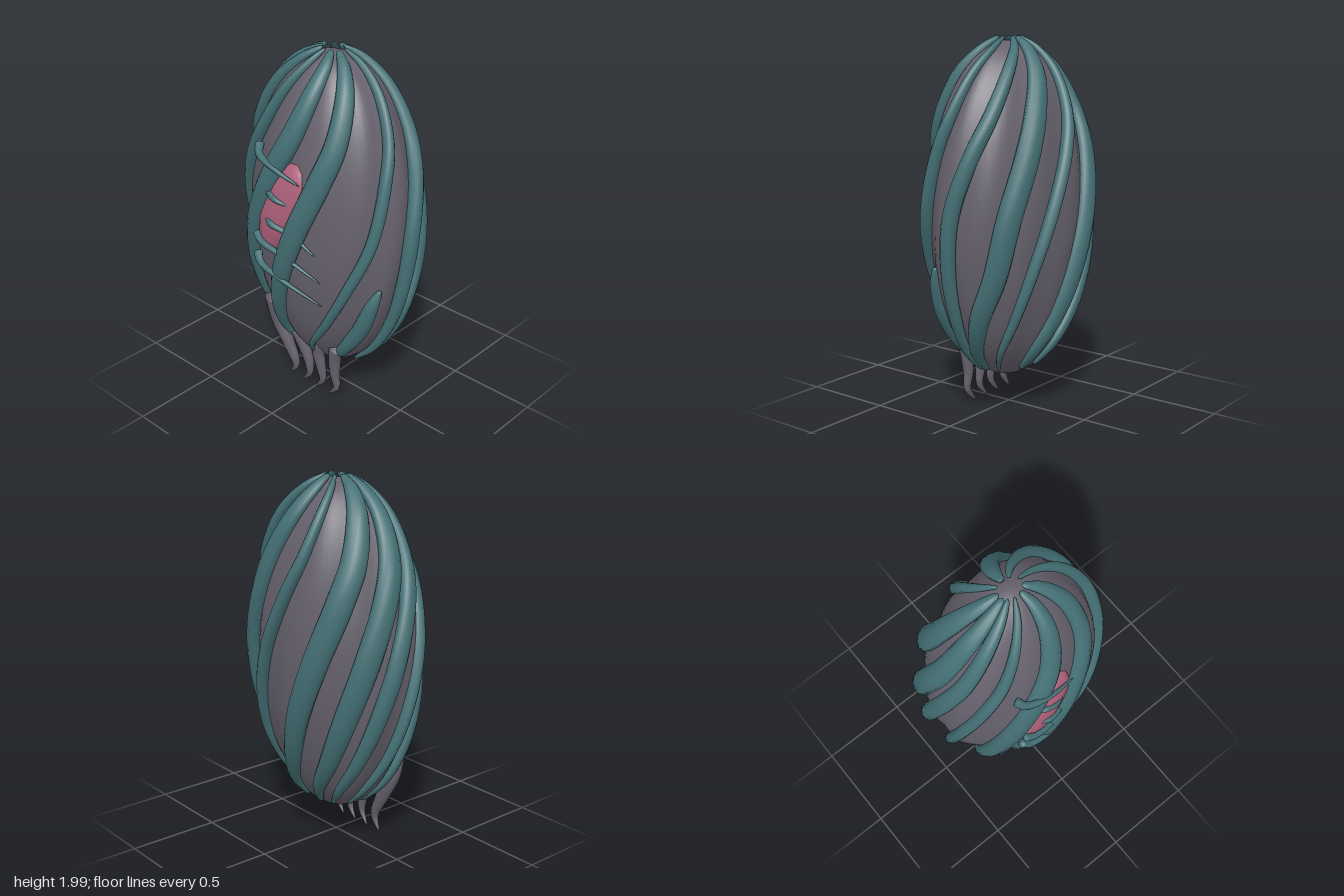
import * as THREE from 'three';
import { mergeVertices } from 'three/addons/utils/BufferGeometryUtils.js';

const RX = 0.5, RY = 0.9, RZ = 0.37, CY = 1.07; // pod half sizes and centre height
const rad = THREE.MathUtils.degToRad;

const material = (name, color) => {
  const m = new THREE.MeshStandardMaterial({ color });
  m.name = name;
  return m;
};

// Point on the pod at a height and an angle (0 = front, growing towards +x)
function podPoint(y, angle, lift = 0) {
  const r = Math.sqrt(Math.max(0, 1 - ((y - CY) / RY) ** 2));
  const p = new THREE.Vector3(RX * r * Math.sin(angle), y, RZ * r * Math.cos(angle));
  return p.addScaledVector(podNormal(p), lift);
}

function podNormal(p) {
  return new THREE.Vector3(p.x / RX ** 2, (p.y - CY) / RY ** 2, p.z / RZ ** 2).normalize();
}

// Sweep an oval section along a curve; width lies across, depth lies along the normal
function sweep(points, rings, sides, width, depth, normalAt) {
  const curve = new THREE.CatmullRomCurve3(points);
  const pos = [], index = [];
  for (let i = 0; i <= rings; i++) {
    const t = i / rings;
    const p = curve.getPoint(t), T = curve.getTangent(t);
    const N = normalAt(p);
    N.addScaledVector(T, -N.dot(T)).normalize();
    const B = new THREE.Vector3().crossVectors(T, N);
    for (let j = 0; j < sides; j++) {
      const a = (j / sides) * Math.PI * 2;
      const v = p.clone().addScaledVector(B, width(t) * Math.cos(a)).addScaledVector(N, depth(t) * Math.sin(a));
      pos.push(v.x, v.y, v.z);
      if (i < rings) {
        const k = (j + 1) % sides, o = i * sides;
        index.push(o + j, o + sides + j, o + k, o + k, o + sides + j, o + sides + k);
      }
    }
  }
  const g = new THREE.BufferGeometry();
  g.setAttribute('position', new THREE.Float32BufferAttribute(pos, 3));
  g.setIndex(index);
  g.computeVertexNormals();
  return g;
}

export function createModel() {
  const group = new THREE.Group();
  const grey = material('dusky grey', 0x66616d);
  const teal = material('deep teal', 0x447075);
  const pink = material('flesh pink', 0xb0627c);
  const add = (name, geometry, mat) => {
    const mesh = new THREE.Mesh(geometry, mat);
    mesh.name = name;
    group.add(mesh);
    return mesh;
  };

  // Fluted pod body
  let body = new THREE.SphereGeometry(1, 80, 40);
  body.deleteAttribute('uv');
  body.deleteAttribute('normal');
  const p = body.attributes.position;
  for (let i = 0; i < p.count; i++) {
    const x = p.getX(i), y = p.getY(i), z = p.getZ(i);
    const a = Math.atan2(x, z) - y * 0.4;
    const f = 1 - 0.02 * (1 - Math.cos(10 * (a - rad(8))));
    p.setXYZ(i, x * RX * f, CY + y * RY, z * RZ * f);
  }
  body = mergeVertices(body, 1e-4);
  body.computeVertexNormals();
  add('podBody', body, grey);

  // Vines spiralling around the pod: half width, turn, path of angles in degrees, lift
  const heights = [1.965, 1.92, 1.8, 1.6, 1.4, 1.1, 0.8, 0.55, 0.36, 0.23];
  const spiral = [62, 54, 46, 36, 24, 8, -6, -18, -32, -43];
  const leftSpiral = [108, 100, 90, 81, 71, 59, 42, 27, 10, 0];
  const sideSpiral = [155, 146, 134, 121, 108, 94, 89, 87, 83, 77];
  const backSpiral = [184, 177, 169, 158, 149, 136, 126, 110, 98, 90];
  const vines = [
    [0.066, -36, spiral, 0.005], [0.064, 0, spiral, 0.005], [0.032, 0, leftSpiral, 0.008],
    [0.044, 0, sideSpiral, 0.014], [0.068, 0, backSpiral, 0.008], [0.034, 158, spiral, 0.01],
    [0.074, 200, spiral, 0.008], [0.068, 234, spiral, 0.008], [0.05, 258, spiral, 0.01],
    [0.034, 288, spiral, 0.005],
  ];
  const taper = (t) => (t <= 0 || t >= 1 ? 0 : 0.18 + 0.82 * Math.sin(Math.PI * t) ** 0.8);
  const addVine = (name, w, points) => add(name, sweep(points, 60, 12, (t) => w * taper(t),
    (t) => (0.025 + w * 0.36) * taper(t), podNormal), teal);
  vines.forEach(([w, turn, path, lift], i) => addVine('vine' + (i + 1), w,
    heights.map((y, k) => podPoint(y, rad(path[k] + turn), k === 0 ? 0.025 : lift))));

  // Short vine low on the left side
  addVine('shortVine', 0.046, [[0.82, 68], [0.72, 63], [0.55, 57], [0.38, 46], [0.25, 32]]
    .map(([y, a]) => podPoint(y, rad(a), 0.005)));

  // Pink core showing between the two front vines
  const core = add('core', new THREE.SphereGeometry(1, 10, 8), pink);
  core.scale.set(0.125, 0.285, 0.062);
  core.position.set(-0.045, 1.2, 0.338);
  core.rotation.set(-0.06, 0, -0.36);

  // Curled tendrils lacing across the core: radius, root thickness, then x, y, lift from the pod
  const tendrils = [
    [0.024, 1, [[-0.21, 1.5, 0.03], [-0.17, 1.46, 0.05], [-0.05, 1.425, 0.045], [0.1, 1.38, 0.03]]],
    [0.021, 0.2, [[-0.12, 1.285, 0.025], [-0.07, 1.275, 0.03], [-0.02, 1.265, 0.035], [0.05, 1.25, 0.01]]],
    [0.021, 0.2, [[-0.12, 1.14, 0.025], [-0.06, 1.125, 0.035], [0.06, 1.09, 0.01], [0.19, 1.01, 0.01]]],
    [0.022, 1, [[-0.2, 1.02, 0.035], [-0.14, 0.99, 0.04], [0, 0.955, 0.02], [0.21, 0.85, 0.01]]],
    [0.023, 1, [[-0.21, 0.9, 0.03], [-0.16, 0.855, 0.045], [-0.02, 0.815, 0.035], [0.2, 0.7, 0.01]]],
  ];
  tendrils.forEach(([r, root, path], i) => {
    const points = path.map(([x, y, lift]) => {
      const s = Math.sqrt(1 - ((y - CY) / RY) ** 2) * RX;
      return podPoint(y, Math.asin(x / s), lift);
    });
    const size = (t) => (t <= 0 ? 0 : r * (1 - t) ** 0.6 * Math.min(1, root + t * 2.5) + 0.002);
    add('tendril' + (i + 1), sweep(points, 24, 8, size, size, podNormal), teal);
  });

  // Four hooked claws hanging below
  const claws = [
    [[-0.275, 0.54, 0.21], [-0.265, 0.36, 0.175], [-0.2, 0.21, 0.16], [-0.15, 0.09, 0.155], [-0.195, 0.005, 0.148]],
    [[-0.12, 0.35, 0.175], [-0.08, 0.26, 0.165], [-0.045, 0.17, 0.16], [-0.04, 0.08, 0.157], [-0.095, 0.005, 0.148]],
    [[0.04, 0.35, 0.175], [0.035, 0.26, 0.165], [0.05, 0.17, 0.16], [0.06, 0.08, 0.157], [0.005, 0.005, 0.148]],
    [[0.18, 0.37, 0.175], [0.16, 0.27, 0.165], [0.155, 0.17, 0.16], [0.165, 0.08, 0.157], [0.105, 0.005, 0.148]],
  ];
  claws.forEach((path, i) => {
    const r = i === 0 ? 0.046 : 0.036;
    const size = (t) => (t <= 0 || t >= 1 ? 0 : r * (1 - t ** 2) + 0.004);
    add('claw' + (i + 1), sweep(path.map((q) => new THREE.Vector3(...q)), 28, 10, size,
      (t) => size(t) * 0.85, () => new THREE.Vector3(0, 0, 1)), grey);
  });

  return group;
}
